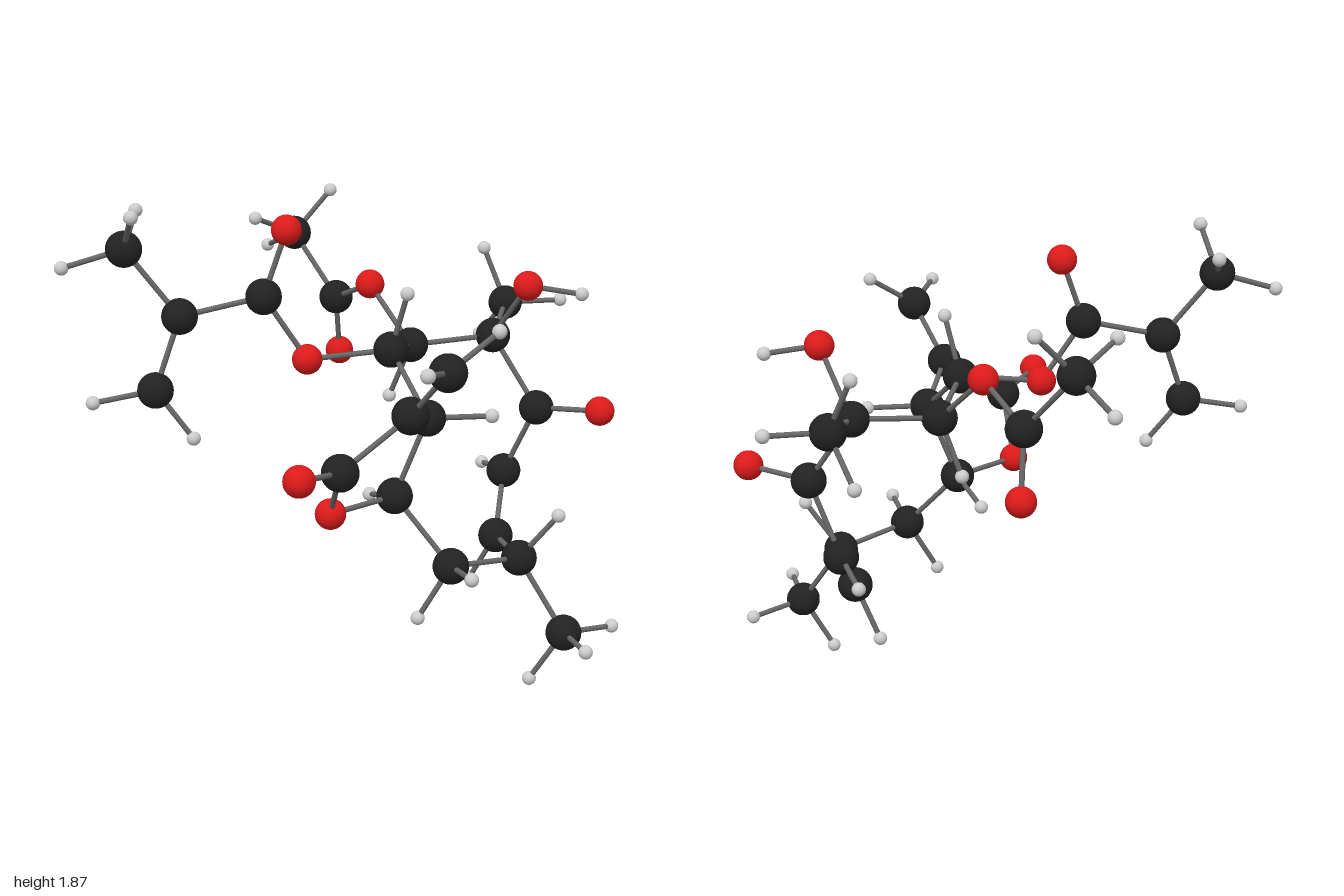
import * as THREE from 'three';

// Ball sizes and colours by kind
const KINDS = {
  carbon: { radius: 0.069, color: 0x222222 },
  oxygen: { radius: 0.058, color: 0xdd1a1a },
  hydrogen: { radius: 0.027, color: 0xcccccc },
};
const ROD_RADIUS = 0.0105;

// Each branch: heavy balls as name: [x, y, z], with their hydrogens in a list after it.
// Names starting with o are oxygen, the others carbon.
const BRANCHES = {
  largeRing: {
    a1: [[-0.07, 1.29, 0.11], [[-0.07, 1.52, 0.19]]],
    a2: [[-0.16, 1.09, 0.367], [[0.02, 1.09, 0.53]]],
    a3: [[-0.243, 0.785, 0.277], [[-0.155, 0.723, 0.073]]],
    a4: [[-0.18, 0.54, 0.502], [[-0.307, 0.575, 0.703], [-0.265, 0.333, 0.412]]],
    a5: [[0.142, 0.5, 0.578], [[0.206, 0.687, 0.714]]],
    a6: [[0.333, 0.475, 0.315], [[0.317, 0.27, 0.198]]],
    a7: [[0.515, 0.68, 0.21], [[0.635, 0.642, 0.003]]],
    a8: [[0.543, 0.968, 0.347]],
    a9: [[0.494, 1.244, 0.16]],
    a10: [[0.222, 1.224, -0.04], [[0.2, 1.003, -0.133]]],
  },
  ringSideGroups: {
    lowMethyl: [[0.18, 0.23, 0.771], [[0.049, 0.248, 0.968], [0.406, 0.205, 0.838], [0.115, 0.029, 0.66]]],
    oKetone: [[0.613, 0.988, 0.606]],
    oHydroxyl: [[0.454, 1.484, 0.36], [[0.591, 1.451, 0.519]]],
    sideMethyl: [[0.777, 1.302, 0.002], [[0.962, 1.302, 0.147], [0.819, 1.133, -0.165], [0.772, 1.517, -0.109]]],
  },
  fiveRing: {
    f1: [[-0.43, 1.19, 0.512]],
    f2: [[-0.673, 1.01, 0.392]],
    oBridge: [[-0.557, 0.788, 0.237]],
    oFiveRing: [[-0.932, 1.055, 0.437]],
    methylene: [[-0.467, 1.394, 0.713], [[-0.285, 1.52, 0.794], [-0.681, 1.444, 0.8]]],
  },
  leftChain: {
    oLeft: [[-0.302, 1.26, -0.111]],
    l1: [[-0.409, 1.504, -0.232]],
    oLeftTip: [[-0.334, 1.754, -0.18]],
    l2: [[-0.641, 1.436, -0.447]],
    l3: [[-0.737, 1.16, -0.489], [[-0.911, 1.118, -0.648], [-0.659, 0.976, -0.37]]],
    leftMethyl: [[-0.763, 1.69, -0.609], [[-0.858, 1.843, -0.457], [-0.588, 1.796, -0.731], [-0.931, 1.622, -0.771]]],
  },
  backChain: {
    oBack: [[0.247, 1.43, -0.277]],
    b1: [[0.332, 1.32, -0.54]],
    oBackTip: [[0.4, 1.071, -0.585]],
    backMethyl: [[0.322, 1.562, -0.764], [[0.105, 1.653, -0.777], [0.481, 1.727, -0.705], [0.379, 1.471, -0.977]]],
  },
};

// Rods run along each of these paths
const PATHS = {
  largeRing: ['a1 a2 a3 a4 a5 a6 a7 a8 a9 a10 a1'],
  ringSideGroups: ['a5 lowMethyl', 'a8 oKetone', 'a9 oHydroxyl', 'a9 sideMethyl'],
  fiveRing: ['a2 f1 f2 oBridge a3', 'f2 oFiveRing', 'f1 methylene'],
  leftChain: ['a1 oLeft l1 l2 l3', 'l1 oLeftTip', 'l2 leftMethyl'],
  backChain: ['a10 oBack b1 backMethyl', 'b1 oBackTip'],
};

export function createModel() {
  const model = new THREE.Group();
  model.name = 'ballAndStickMolecule';

  const ballGeometry = new THREE.SphereGeometry(1, 28, 18);
  const rodGeometry = new THREE.CylinderGeometry(ROD_RADIUS, ROD_RADIUS, 1, 12, 1, true);
  const rodMaterial = new THREE.MeshStandardMaterial({ color: 0x666666 });
  const materials = {};
  for (const kind in KINDS) {
    materials[kind] = new THREE.MeshStandardMaterial({ color: KINDS[kind].color });
  }

  function addBall(group, kind, position) {
    const ball = new THREE.Mesh(ballGeometry, materials[kind]);
    ball.name = kind + 'Ball';
    ball.position.copy(position);
    ball.scale.setScalar(KINDS[kind].radius);
    group.add(ball);
  }

  function addRod(group, from, to) {
    const along = to.clone().sub(from);
    const rod = new THREE.Mesh(rodGeometry, rodMaterial);
    rod.name = 'rod';
    rod.position.copy(from).addScaledVector(along, 0.5);
    rod.scale.y = along.length();
    rod.quaternion.setFromUnitVectors(new THREE.Vector3(0, 1, 0), along.normalize());
    group.add(rod);
  }

  const places = {};
  for (const branch in BRANCHES) {
    const group = new THREE.Group();
    group.name = branch;
    model.add(group);

    // Heavy balls with their hydrogens
    for (const [name, [point, hydrogens = []]] of Object.entries(BRANCHES[branch])) {
      const centre = places[name] = new THREE.Vector3(...point);
      addBall(group, name.startsWith('o') ? 'oxygen' : 'carbon', centre);
      for (const h of hydrogens) {
        const end = new THREE.Vector3(...h);
        addBall(group, 'hydrogen', end);
        addRod(group, centre, end);
      }
    }

    // Rods between heavy balls
    for (const path of PATHS[branch]) {
      const stops = path.split(' ').map((name) => places[name]);
      for (let i = 1; i < stops.length; i++) addRod(group, stops[i - 1], stops[i]);
    }
  }
  return model;
}
